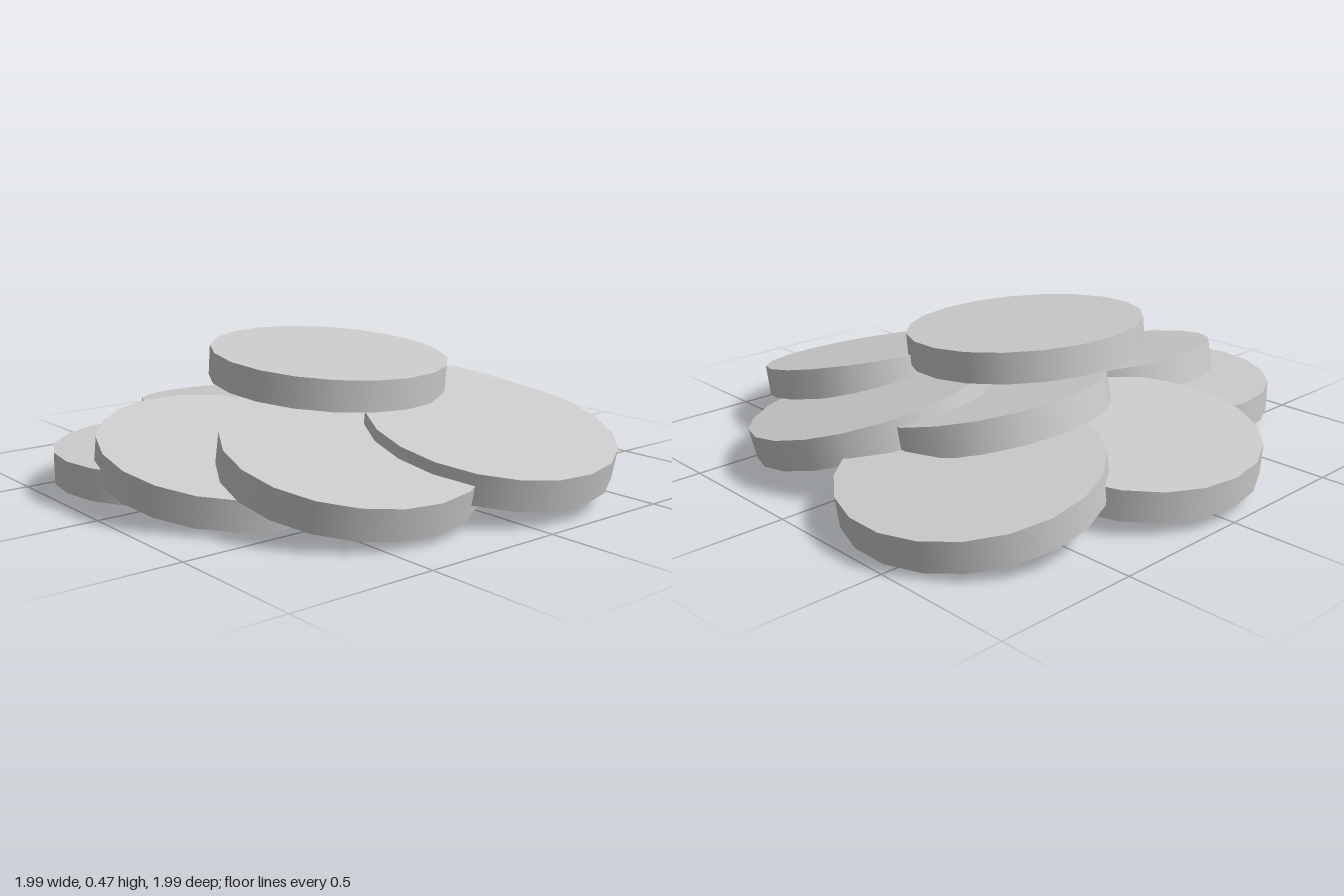
import * as THREE from 'three';

const RADIUS = 0.425;
const THICKNESS = 0.108;
const UP = new THREE.Vector3(0, 1, 0);

// Each disc: centre of its top face, slope of that face along x and z, spin in degrees
const DISCS = [
  { name: 'topDisc', at: [-0.05, 0.445, -0.015], slope: [-0.02, -0.085], spin: 0 },
  { name: 'frontDisc', at: [0.163, 0.257, 0.578], slope: [0.015, -0.23], spin: 3 },
  { name: 'frontRightDisc', at: [-0.335, 0.235, 0.455], slope: [0.02, -0.23], spin: 0 },
  { name: 'rightDisc', at: [-0.547, 0.2, 0.058], slope: [0, -0.21], spin: 8 },
  { name: 'backRightDisc', at: [-0.575, 0.16, -0.197], slope: [0, 0], spin: 0 },
  { name: 'backDisc', at: [-0.01, 0.2, -0.573], slope: [-0.03, 0.1], spin: 0 },
  { name: 'backLeftDisc', at: [0.58, 0.2, -0.415], slope: [-0.165, 0.02], spin: 9 },
  { name: 'leftDisc', at: [0.478, 0.24, 0.227], slope: [-0.14, -0.215], spin: 6 },
  { name: 'middleDisc', at: [0.235, 0.277, -0.105], slope: [-0.05, -0.21], spin: 9 },
];

export function createModel() {
  const group = new THREE.Group();
  group.name = 'discPile';

  const material = new THREE.MeshStandardMaterial({ color: 0xcccccc });
  // Origin at the centre of the top face
  const geometry = new THREE.CylinderGeometry(RADIUS, RADIUS, THICKNESS, 20);
  geometry.translate(0, -THICKNESS / 2, 0);

  for (const { name, at, slope, spin } of DISCS) {
    const disc = new THREE.Mesh(geometry, material);
    disc.name = name;
    disc.position.set(...at);
    // Lean the disc to its slope, then spin it about its own axis
    const normal = new THREE.Vector3(-slope[0], 1, -slope[1]).normalize();
    disc.quaternion.setFromUnitVectors(UP, normal);
    disc.rotateY(THREE.MathUtils.degToRad(spin));
    group.add(disc);
  }
  return group;
}
